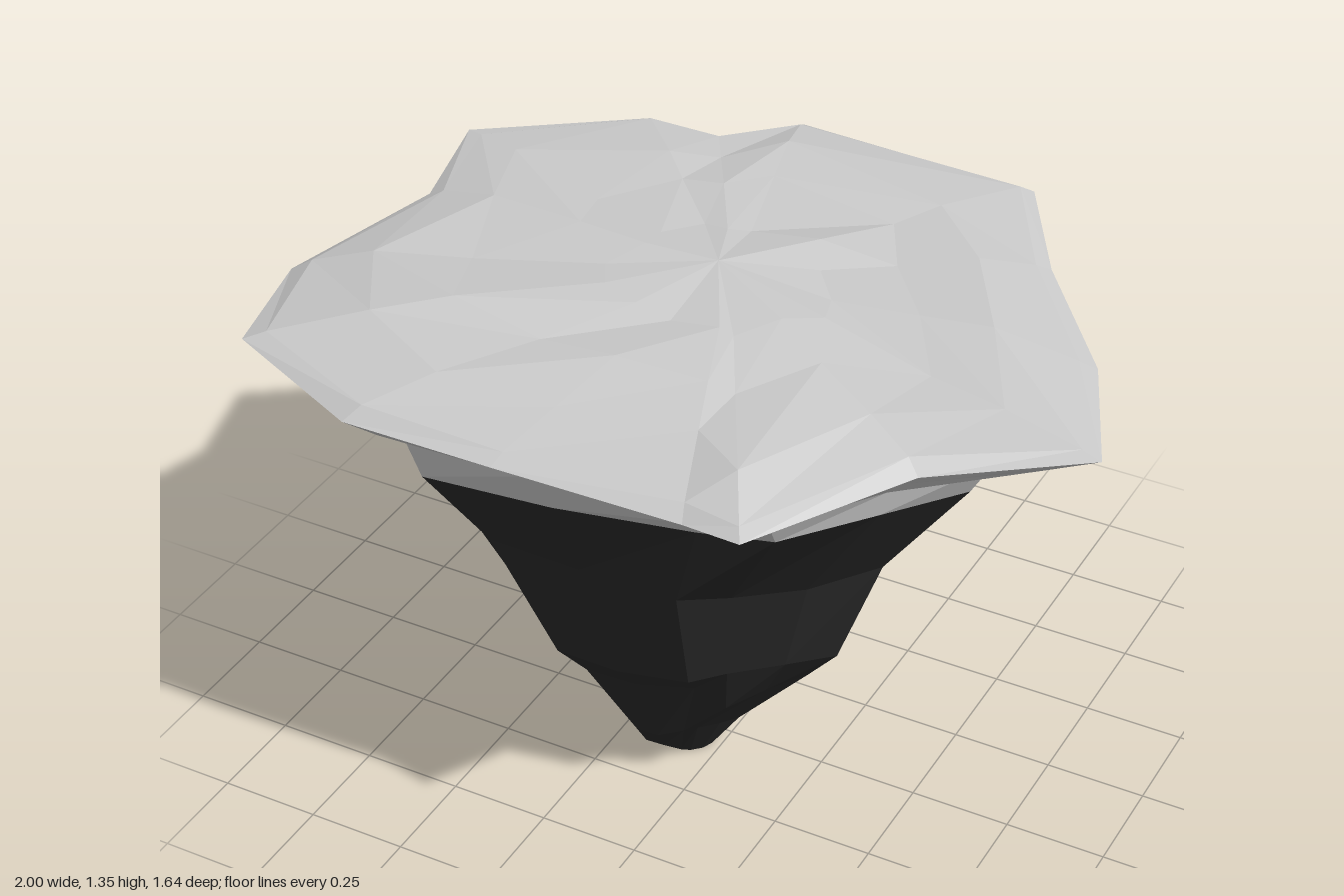
import * as THREE from 'three';

// Rim of the turf, clockwise from the back: x, y, z
const RIM = [
  [-0.23, 1.26, -0.82], [0.40, 1.25, -0.80], [0.59, 1.27, -0.46], [0.85, 1.28, -0.11],
  [1.00, 1.29, 0.23], [0.66, 1.25, 0.41], [0.45, 1.27, 0.82], [0.30, 1.25, 0.79],
  [-0.15, 1.26, 0.81], [-0.53, 1.25, 0.80], [-0.90, 1.26, 0.64], [-1.00, 1.23, 0.30],
  [-0.87, 1.26, -0.10], [-0.93, 1.28, -0.38], [-0.58, 1.27, -0.65], [-0.38, 1.27, -0.65],
];
// Line where turf meets rock, in the same order
const NECK = [
  [-0.18, 1.05, -0.53], [0.28, 1.03, -0.53], [0.46, 1.10, -0.42], [0.60, 1.09, -0.10],
  [0.68, 1.07, 0.17], [0.56, 1.10, 0.38], [0.40, 1.09, 0.56], [0.24, 1.10, 0.62],
  [-0.10, 1.07, 0.65], [-0.42, 1.06, 0.67], [-0.60, 1.09, 0.50], [-0.72, 1.03, 0.25],
  [-0.70, 1.07, -0.05], [-0.62, 1.06, -0.28], [-0.48, 1.10, -0.44], [-0.32, 1.11, -0.46],
];
// Rock levels: y, min x, max x, min z, max z
const LEVELS = [
  [0.00, -0.22, -0.01, -0.03, 0.13],
  [0.15, -0.22, 0.08, -0.14, 0.25],
  [0.35, -0.39, 0.28, -0.25, 0.35],
  [0.47, -0.43, 0.35, -0.32, 0.45],
  [0.80, -0.63, 0.49, -0.45, 0.57],
];

// Repeatable noise in -1..1
const noise = (i, j) => {
  const s = Math.sin(i * 127.1 + j * 311.7) * 43758.5453;
  return (s - Math.floor(s)) * 2 - 1;
};
const mix = (a, b, t) => a + (b - a) * t;

// Skin a stack of rings from bottom to top; a one-point ring closes an end
function loft(rings, color, name) {
  const pos = [];
  for (let r = 0; r < rings.length - 1; r++) {
    const a = rings[r], b = rings[r + 1];
    const n = Math.max(a.length, b.length);
    for (let i = 0; i < n; i++) {
      const j = (i + 1) % n;
      if (a.length > 1) pos.push(...a[i], ...b[i % b.length], ...a[j]);
      if (b.length > 1) pos.push(...a[j % a.length], ...b[i], ...b[j]);
    }
  }
  const geo = new THREE.BufferGeometry();
  geo.setAttribute('position', new THREE.Float32BufferAttribute(pos, 3));
  geo.computeVertexNormals();
  const mat = new THREE.MeshStandardMaterial({ color, flatShading: true, side: THREE.DoubleSide });
  const mesh = new THREE.Mesh(geo, mat);
  mesh.name = name;
  return mesh;
}

export function createModel() {
  const island = new THREE.Group();
  island.name = 'floatingIsland';

  // Tapering rock: the neck outline squeezed into each level, with uneven ridges
  const rockRings = LEVELS.map(([y, x0, x1, z0, z1], k) => NECK.map(([nx, , nz], i) => {
    const dent = 1 - 0.07 * (1 + noise(i, k));
    const u = 0.5 + ((nx + 0.72) / 1.40 - 0.5) * dent;
    const v = 0.5 + ((nz + 0.53) / 1.20 - 0.5) * dent;
    const lift = k ? 0.035 * noise(i + 20, k) : 0;
    return [mix(x0, x1, u), y + lift, mix(z0, z1, v)];
  }));
  island.add(loft([[[-0.115, 0, 0.05]], ...rockRings, NECK], 0x2b2b2b, 'rock'));

  // Overhanging underside of the turf, between neck and rim
  const lip = [[0.18, 1.155], [0.55, 1.2]].map(([t, y], k) => NECK.map((p, i) => [
    mix(p[0], RIM[i][0], t), y + 0.015 * noise(i, k + 7), mix(p[2], RIM[i][2], t),
  ]));

  // Gently domed, bumpy top: rim scaled inward
  const dome = [[0.95, 1.285, 0.006], [0.75, 1.312, 0.012], [0.53, 1.322, 0.014], [0.28, 1.333, 0.012]]
    .map(([s, y, bump], k) => RIM.map(([x, ry, z], i) => {
      const f = s * (1 + (k ? 0.1 * noise(i, k + 30) : 0));
      const edge = k ? 0 : (ry - 1.265) * 0.6;
      return [x * f, y + edge + bump * noise(i, k + 40), z * f];
    }));
  dome[1][3][1] = 1.335;
  island.add(loft([NECK, ...lip, RIM, ...dome, [[-0.05, 1.345, -0.03]]], 0xcccccc, 'turf'));

  return island;
}
